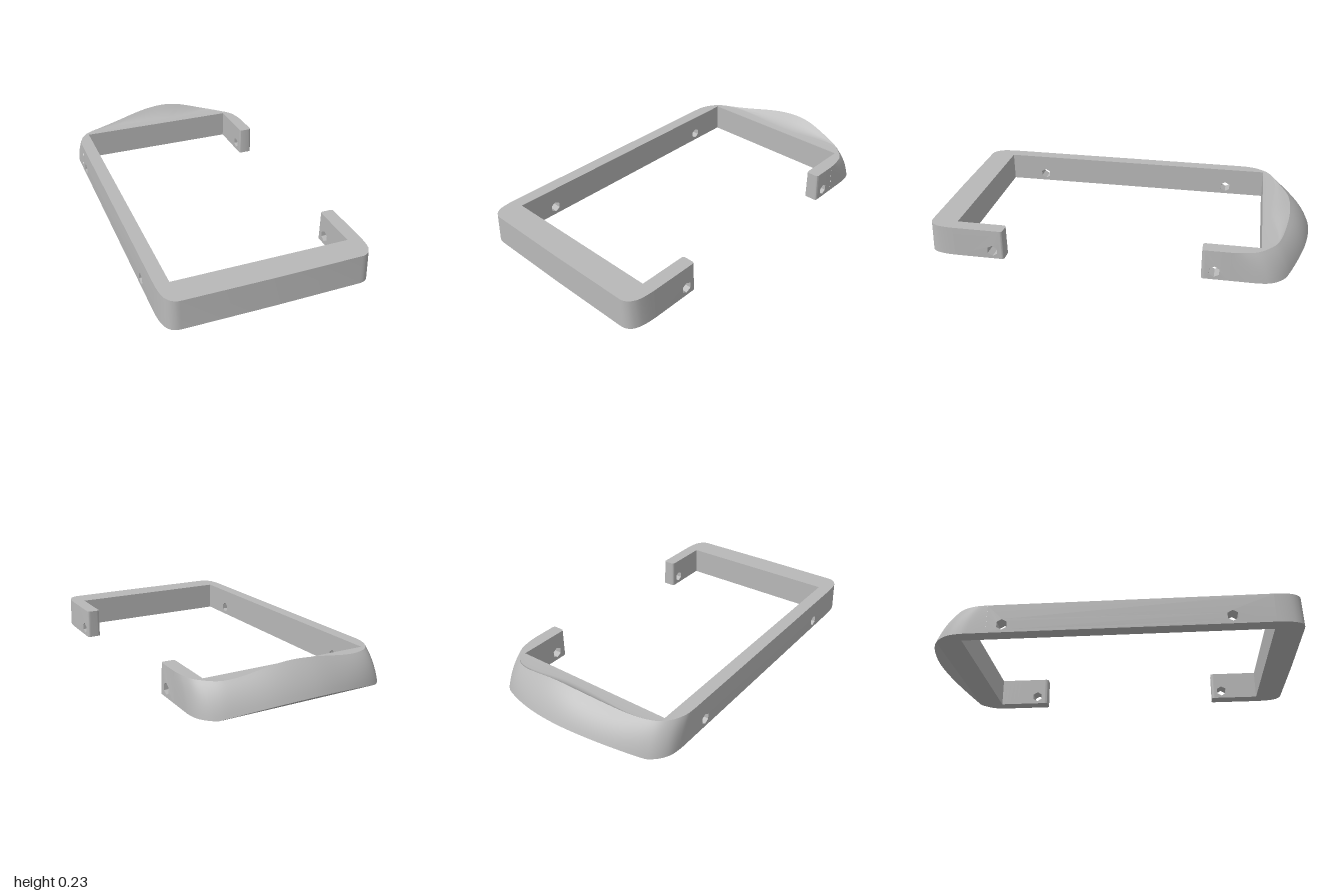
import * as THREE from 'three';
import { toCreasedNormals } from 'three/addons/utils/BufferGeometryUtils.js';

const H = 0.16, OUT = 0.54, INN = 0.463, BACK = -0.745, FRONT = 0.85;
const clamp = THREE.MathUtils.clamp;

// Slight draft: outer faces lean in towards the top
function draft(geo) {
  const p = geo.attributes.position;
  for (let i = 0; i < p.count; i++) {
    if (p.getY(i) < 0.1) continue;
    if (Math.abs(p.getX(i)) > 0.49) p.setX(i, p.getX(i) - 0.005 * Math.sign(p.getX(i)));
    if (p.getZ(i) > 0.95) p.setZ(i, p.getZ(i) - 0.005);
  }
  return toCreasedNormals(geo, 0.5);
}

// Side wall between two z positions, with hexagonal screw holes
function wall(z0, z1, xMax, holes) {
  const s = new THREE.Shape();
  s.moveTo(z0, 0).lineTo(z1, 0).lineTo(z1, H).lineTo(z0, H).closePath();
  for (const hz of holes) {
    const pts = [];
    for (let i = 0; i < 6; i++) {
      const a = Math.PI / 6 + i * Math.PI / 3;
      pts.push(new THREE.Vector2(hz + 0.03 * Math.cos(a), 0.045 + 0.03 * Math.sin(a)));
    }
    s.holes.push(new THREE.Path(pts));
  }
  const g = new THREE.ExtrudeGeometry(s, { depth: OUT - INN, bevelEnabled: false });
  g.rotateY(-Math.PI / 2).translate(xMax, 0, 0);
  return draft(g);
}

// Upright slab from an (x, z) plan
function slab(shape) {
  const g = new THREE.ExtrudeGeometry(shape, { depth: H, bevelEnabled: false, curveSegments: 10 });
  g.rotateX(Math.PI / 2).translate(0, H, 0);
  return draft(g);
}

// Rounded tip of an open arm; dir is the way it points along z
function armTip(z, dir) {
  const s = new THREE.Shape(), r = 0.015, e = z - dir * 0.02;
  s.moveTo(INN, e).lineTo(INN, z - dir * r);
  s.quadraticCurveTo(INN, z, INN + r, z).lineTo(OUT - r, z);
  s.quadraticCurveTo(OUT, z, OUT, z - dir * r).lineTo(OUT, e).closePath();
  return slab(s);
}

// Height of the rear lip across x
function rimHeight(x) {
  const t = x < 0.08 ? (x + 0.45) / 0.53 : (0.47 - x) / 0.39;
  return H + 0.066 * (0.5 - 0.5 * Math.cos(Math.PI * clamp(t, 0, 1)));
}

// Rear hood: cross-sections lofted around the back between a base curve and a rim curve
function rearHood() {
  const curve = pts => new THREE.CatmullRomCurve3(pts.map(([x, z]) => new THREE.Vector3(x, 0, z)));
  const base = curve([[-0.54, -0.6], [-0.54, -0.72], [-0.525, -0.8], [-0.48, -0.86], [-0.4, -0.905],
    [-0.2, -0.97], [0, -1], [0.2, -0.98], [0.4, -0.91], [0.48, -0.865], [0.525, -0.81], [0.54, -0.74], [0.54, -0.6]]);
  const rim = curve([[-0.535, -0.6], [-0.53, -0.66], [-0.505, -0.725], [-0.46, -0.775], [-0.38, -0.81],
    [-0.2, -0.852], [0, -0.882], [0.2, -0.88], [0.4, -0.83], [0.465, -0.78], [0.51, -0.725], [0.528, -0.66], [0.535, -0.6]]);
  const V = (x, y, z) => new THREE.Vector3(x, y, z);
  const N = 72, pos = [], idx = [];
  let M = 0;
  for (let i = 0; i <= N; i++) {
    const b = base.getPoint(i / N), r = rim.getPoint(i / N);
    b.x = clamp(b.x, -OUT, OUT);
    b.z = Math.max(b.z, -1);
    b.y = Math.max(0, (-b.z - 0.88) * 0.58);
    r.y = rimHeight(r.x);
    const h = r.y - H;
    const ix = clamp(b.x, -INN, INN), iz = Math.max(b.z, BACK);
    const bulge = V(b.x + (r.x - b.x) * 0.3, b.y + (r.y - b.y) * 0.61, b.z + (r.z - b.z) * 0.3);
    const outer = new THREE.QuadraticBezierCurve3(b, bulge, r).getPoints(8);
    const lip = new THREE.QuadraticBezierCurve3(r, V(r.x, H, r.z + 0.8 * h), V(r.x, H, r.z + 1.45 * h)).getPoints(6);
    const ring = [V(ix, 0, iz), V(b.x, 0, Math.max(b.z, -0.88)), ...outer, ...lip.slice(1), V(ix, H, iz), V(ix, 0, iz)];
    M = ring.length;
    ring.forEach(p => pos.push(p.x, p.y, p.z));
  }
  for (let i = 0; i < N; i++) for (let j = 0; j < M - 1; j++) {
    const a = i * M + j, c = a + M;
    idx.push(a, a + 1, c, a + 1, c + 1, c);
  }
  const g = new THREE.BufferGeometry();
  g.setAttribute('position', new THREE.Float32BufferAttribute(pos, 3));
  g.setIndex(idx);
  return toCreasedNormals(g, 0.42);
}

export function createModel() {
  const group = new THREE.Group();
  const grey = new THREE.MeshStandardMaterial({ color: 0xb8b8b8 });
  grey.name = 'grey plastic';
  const add = (name, geo) => {
    const m = new THREE.Mesh(geo, grey);
    m.name = name;
    group.add(m);
  };

  // Front rail with rounded outer corners
  const s = new THREE.Shape();
  s.moveTo(-OUT, FRONT).lineTo(OUT, FRONT);
  s.bezierCurveTo(OUT - 0.003, 0.95, 0.52, 0.995, 0.46, 0.997);
  s.lineTo(0, 1).lineTo(-0.46, 0.997);
  s.bezierCurveTo(-0.52, 0.995, -OUT + 0.003, 0.95, -OUT, FRONT);
  add('frontRail', slab(s));

  // Side walls and open arms
  add('rightWall', wall(-0.6, FRONT, -INN, [0.64, -0.52]));
  add('leftFrontArm', wall(0.6, FRONT, OUT, [0.64]));
  add('leftRearArm', wall(-0.6, -0.475, OUT, [-0.52]));
  add('leftFrontArmTip', armTip(0.58, -1));
  add('leftRearArmTip', armTip(-0.455, 1));

  add('rearHood', rearHood());
  return group;
}
